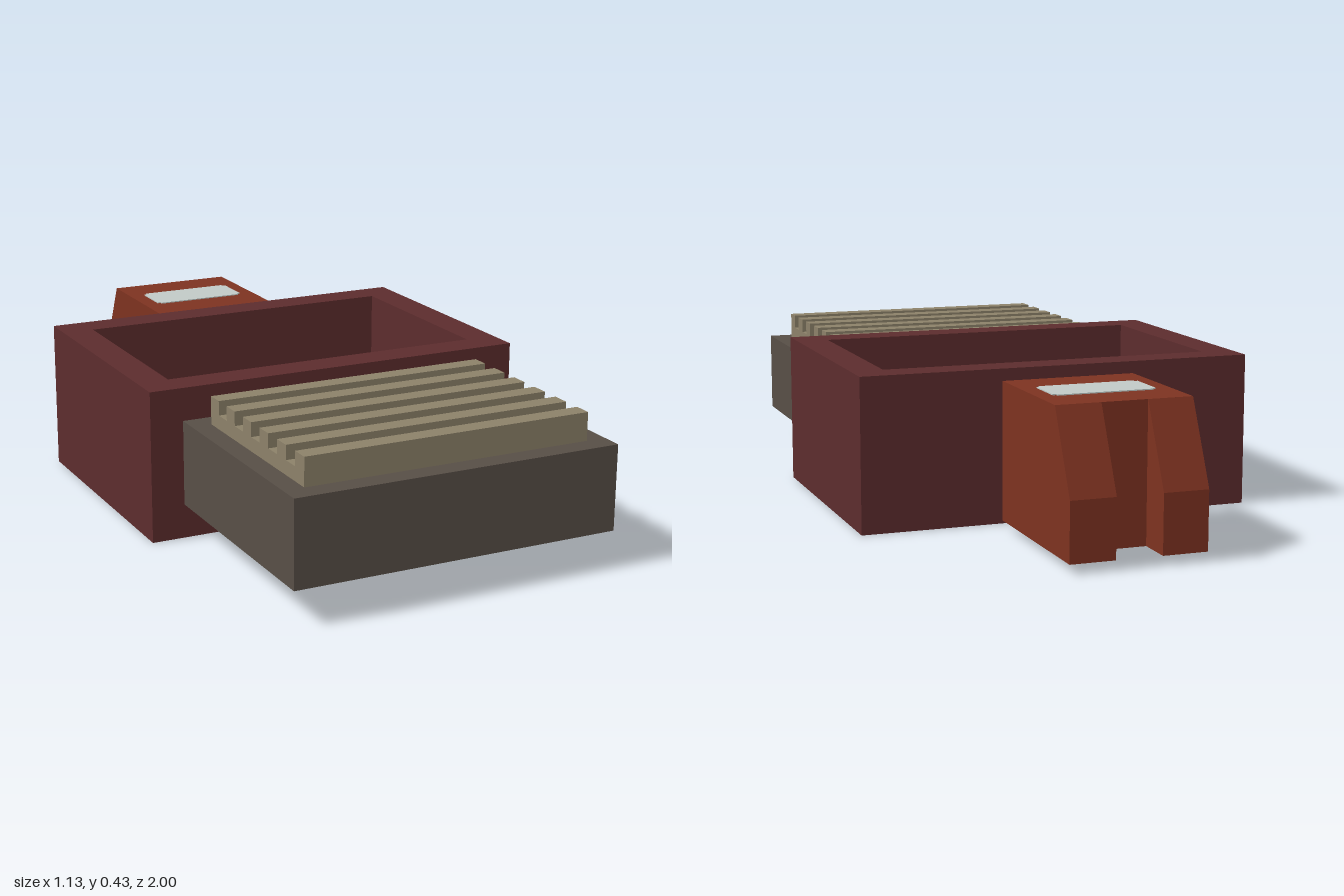
import * as THREE from 'three';

const material = (name, color) => {
  const m = new THREE.MeshStandardMaterial({ color });
  m.name = name;
  return m;
};

// Closed outline from [x, y] points
const outline = (points) => new THREE.Shape(points.map(([x, y]) => new THREE.Vector2(x, y)));

const extrude = (shape, depth) =>
  new THREE.ExtrudeGeometry(shape, { depth, bevelEnabled: false });

// Extrude a [z, y] side profile across x0..x1
function sideProfile(points, x0, x1) {
  const g = extrude(outline(points.map(([z, y]) => [-z, y])), x1 - x0);
  return g.rotateY(Math.PI / 2).translate(x0, 0, 0);
}

// Extrude an [x, z] plan upward across y0..y1
function planProfile(shape, y0, y1) {
  return extrude(shape, y1 - y0).rotateX(-Math.PI / 2).translate(0, y0, 0);
}

const rectangle = (x0, x1, z0, z1) =>
  [[x0, -z1], [x1, -z1], [x1, -z0], [x0, -z0]];

export function createModel() {
  const group = new THREE.Group();
  const maroon = material('maroon', 0x5c2c2d);
  const slate = material('brownGrey', 0x574e46);
  const tan = material('tan', 0x8c8169);
  const rust = material('rust', 0x7d3220);
  const pale = material('paleGrey', 0xc0c9c6);

  const add = (name, geometry, mat, parent = group) => {
    const mesh = new THREE.Mesh(geometry, mat);
    mesh.name = name;
    parent.add(mesh);
    return mesh;
  };

  // Open box: four walls around a rectangular well, and a floor
  const box = new THREE.Group();
  box.name = 'openBox';
  group.add(box);
  const walls = outline(rectangle(-0.565, 0.565, -0.448, 0.32));
  walls.holes.push(outline(rectangle(-0.474, 0.474, -0.356, 0.228)));
  add('boxWalls', planProfile(walls, 0, 0.43), maroon, box);
  add('boxFloor', new THREE.BoxGeometry(0.948, 0.09, 0.584).translate(0, 0.045, -0.064), maroon, box);

  // Front block
  add('frontBlock', new THREE.BoxGeometry(0.94, 0.24, 0.68).translate(0, 0.217, 0.66), slate);

  // Ridged pad: one comb-shaped profile with six teeth
  const teeth = 6, z0 = 0.38, z1 = 0.94;
  const step = (z1 - z0) / (teeth * 2 - 1);
  const comb = [[z1, 0.337], [z0, 0.337]];
  for (let i = 0; i < teeth; i++) {
    const a = z0 + 2 * i * step, b = a + step;
    if (i > 0) comb.push([a, 0.376]);
    comb.push([a, 0.416], [b, 0.416]);
    if (i < teeth - 1) comb.push([b, 0.376]);
  }
  add('ridgedPad', sideProfile(comb, -0.413, 0.413), tan);

  // Rear clip: a block with two sloping prongs
  const clip = new THREE.Group();
  clip.name = 'rearClip';
  group.add(clip);
  const zProng = -0.896;
  add('clipBody', new THREE.BoxGeometry(0.378, 0.383, 0.382).translate(-0.001, 0.2165, -0.705), rust, clip);
  const prong = [[zProng, 0.025], [zProng, 0.408], [-1, 0.187], [-1, 0.025]];
  add('leftProng', sideProfile(prong, 0.063, 0.188), rust, clip);
  add('rightProng', sideProfile(prong, -0.19, -0.065), rust, clip);

  // Thin inlay with stepped corners
  const w = 0.144, h = 0.068, c = 0.01;
  const inlay = outline([
    [-w + c, -h], [w - c, -h], [w - c, -h + c], [w, -h + c],
    [w, h - c], [w - c, h - c], [w - c, h], [-w + c, h],
    [-w + c, h - c], [-w, h - c], [-w, -h + c], [-w + c, -h + c],
  ]);
  add('clipInlay', planProfile(inlay, 0.406, 0.411).translate(-0.001, 0, -0.707), pale, clip);

  return group;
}
